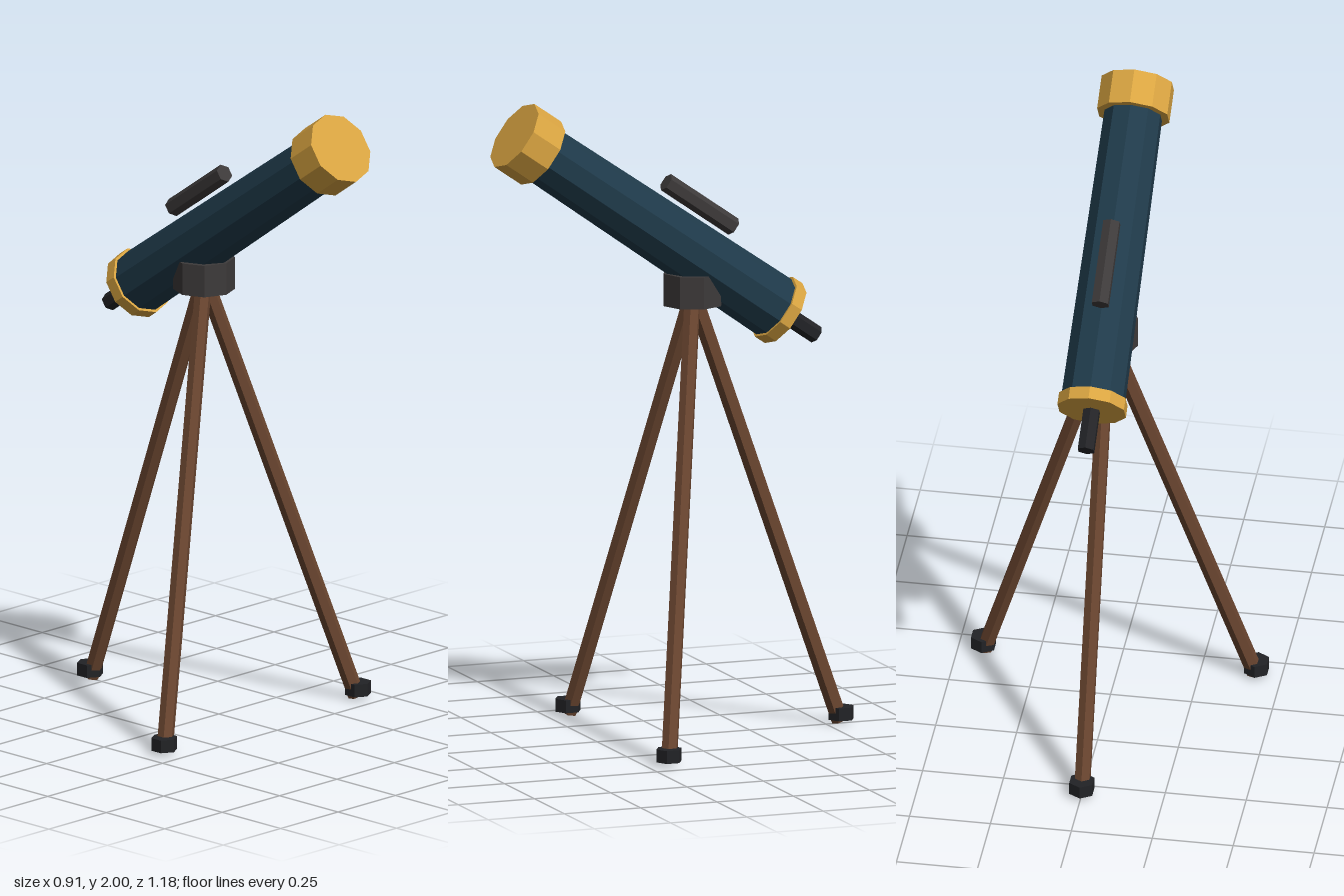
import * as THREE from 'three';

const paint = (color) => new THREE.MeshStandardMaterial({ color, flatShading: true });

export function createModel() {
  const model = new THREE.Group();
  model.name = 'telescope';
  const brass = paint(0xd9a441);
  const blue = paint(0x1f3a4a);
  const grey = paint(0x3d3a3a);
  const black = paint(0x222326);
  const wood = paint(0x6b4630);

  const add = (parent, name, geometry, material, x = 0, y = 0, z = 0) => {
    const mesh = new THREE.Mesh(geometry, material);
    mesh.name = name;
    mesh.position.set(x, y, z);
    parent.add(mesh);
    return mesh;
  };

  // Optical assembly: local +z runs up the sight line, origin at the front face
  const optics = new THREE.Group();
  optics.name = 'opticalTube';
  optics.position.set(0, 1.907, 0.521);
  optics.rotation.x = -THREE.MathUtils.degToRad(35);
  model.add(optics);

  // Faceted cylinder spanning two distances behind the front face
  const barrel = (name, from, to, rFront, rBack, sides, material, lift = 0) => {
    const geometry = new THREE.CylinderGeometry(rFront, rBack, to - from, sides).rotateX(Math.PI / 2);
    add(optics, name, geometry, material, 0, lift, -(from + to) / 2);
  };
  barrel('frontCap', 0, 0.107, 0.114, 0.114, 10, brass);
  barrel('mainTube', 0.05, 1.06, 0.09, 0.1, 10, blue);
  barrel('rearCollar', 1.038, 1.077, 0.108, 0.108, 10, brass);
  barrel('eyepiece', 1.06, 1.208, 0.028, 0.028, 6, black);
  barrel('finderScope', 0.511, 0.781, 0.029, 0.029, 6, grey, 0.136);

  // Tripod: mount block with three splayed legs
  const tripod = new THREE.Group();
  tripod.name = 'tripod';
  tripod.position.z = -0.063;
  model.add(tripod);
  add(tripod, 'mountHead', new THREE.CylinderGeometry(0.095, 0.095, 0.1, 8), grey, 0, 1.39, 0);

  const spread = 0.482, top = 1.375, bottom = 0.009;
  const length = Math.hypot(spread, top - bottom);
  for (let i = 0; i < 3; i++) {
    const angle = Math.PI / 3 + (i * Math.PI * 2) / 3;
    const legGroup = new THREE.Group();
    legGroup.name = 'leg' + (i + 1);
    legGroup.rotation.y = angle;
    tripod.add(legGroup);
    const leg = add(legGroup, 'legPole', new THREE.CylinderGeometry(0.026, 0.026, length, 6), wood,
      0, (top + bottom) / 2, spread / 2);
    leg.rotation.x = -Math.atan2(spread, top - bottom);
    add(legGroup, 'foot', new THREE.CylinderGeometry(0.041, 0.041, 0.04, 6), black, 0, 0.033, 0.487);
  }
  return model;
}
